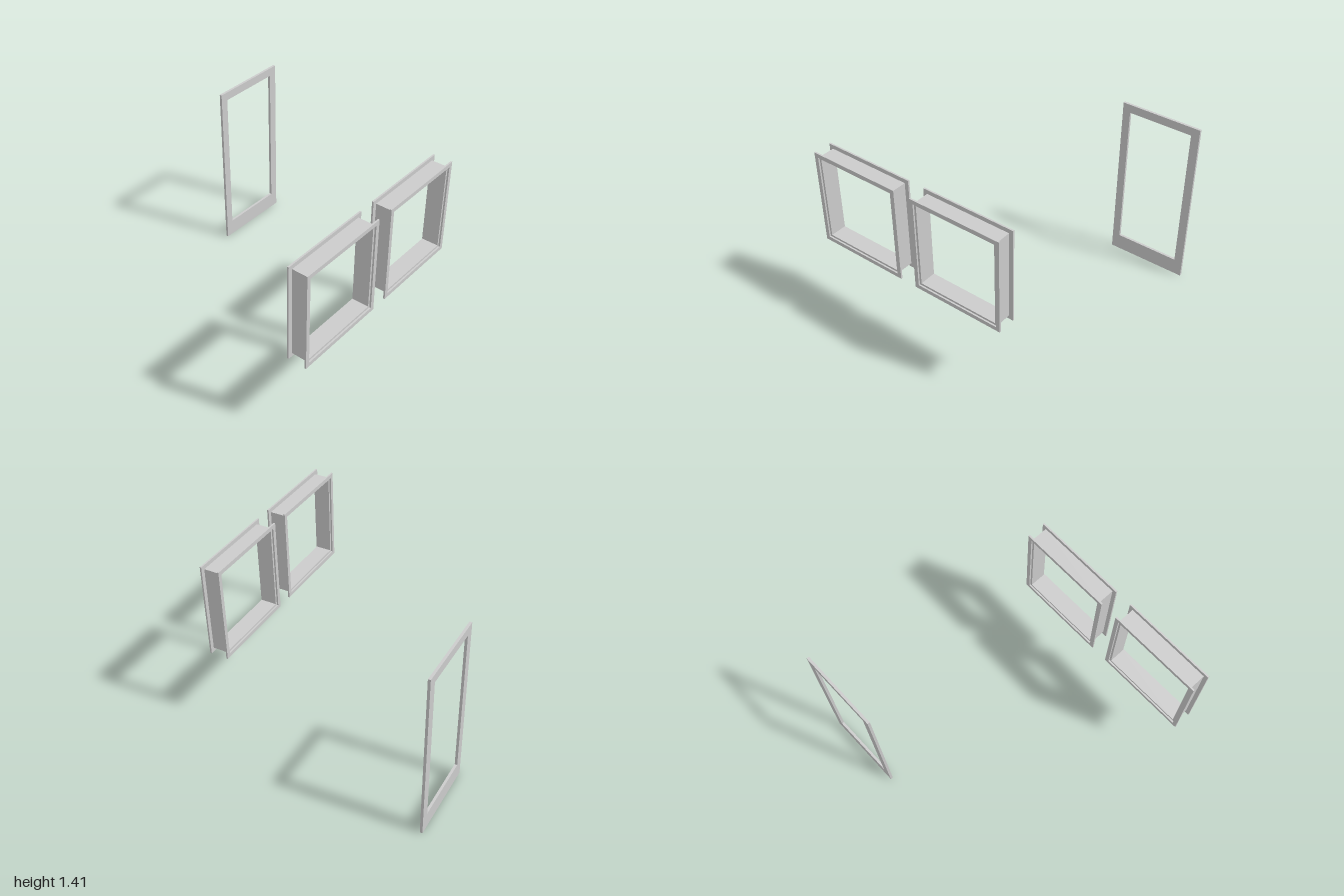
import * as THREE from 'three';

const material = new THREE.MeshStandardMaterial({ color: 0xcccccc, flatShading: true });

// Rectangular ring: outer and inner are [x0, y0, x1, y1], extruded from z0 to z1
function ring(name, outer, inner, z0, z1) {
  const corners = ([x0, y0, x1, y1]) => [[x0, y0], [x1, y0], [x1, y1], [x0, y1]].map(p => new THREE.Vector2(...p));
  const shape = new THREE.Shape(corners(outer));
  shape.holes.push(new THREE.Path(corners(inner).reverse()));
  const geometry = new THREE.ExtrudeGeometry(shape, { depth: z1 - z0, bevelEnabled: false });
  geometry.translate(0, 0, z0);
  const mesh = new THREE.Mesh(geometry, material);
  mesh.name = name;
  return mesh;
}

const inset = ([x0, y0, x1, y1], d) => [x0 + d, y0 + d, x1 - d, y1 - d];

// Window: deep lining with a wider trim ring on each face
function windowFrame(name, x) {
  const group = new THREE.Group();
  group.name = name;
  const outer = [x, 0.637, x + 0.755, 1.411];
  const lining = inset(outer, 0.032);
  const opening = inset(outer, 0.048);
  const back = 0.815, front = 0.973, trim = 0.013;
  group.add(
    ring('frontTrim', outer, lining, front - trim, front),
    ring('lining', lining, opening, back + trim, front - trim),
    ring('backTrim', outer, lining, back, back + trim)
  );
  return group;
}

export function createModel() {
  const model = new THREE.Group();
  model.name = 'windowAndDoorFrames';
  model.add(windowFrame('rightWindow', -1), windowFrame('leftWindow', -0.107));

  // Door leaf with a tall opening and a deeper bottom rail
  model.add(ring('doorFrame', [0.342, 0, 1, 1.395], [0.405, 0.134, 0.932, 1.327], -0.973, -0.953));
  return model;
}
